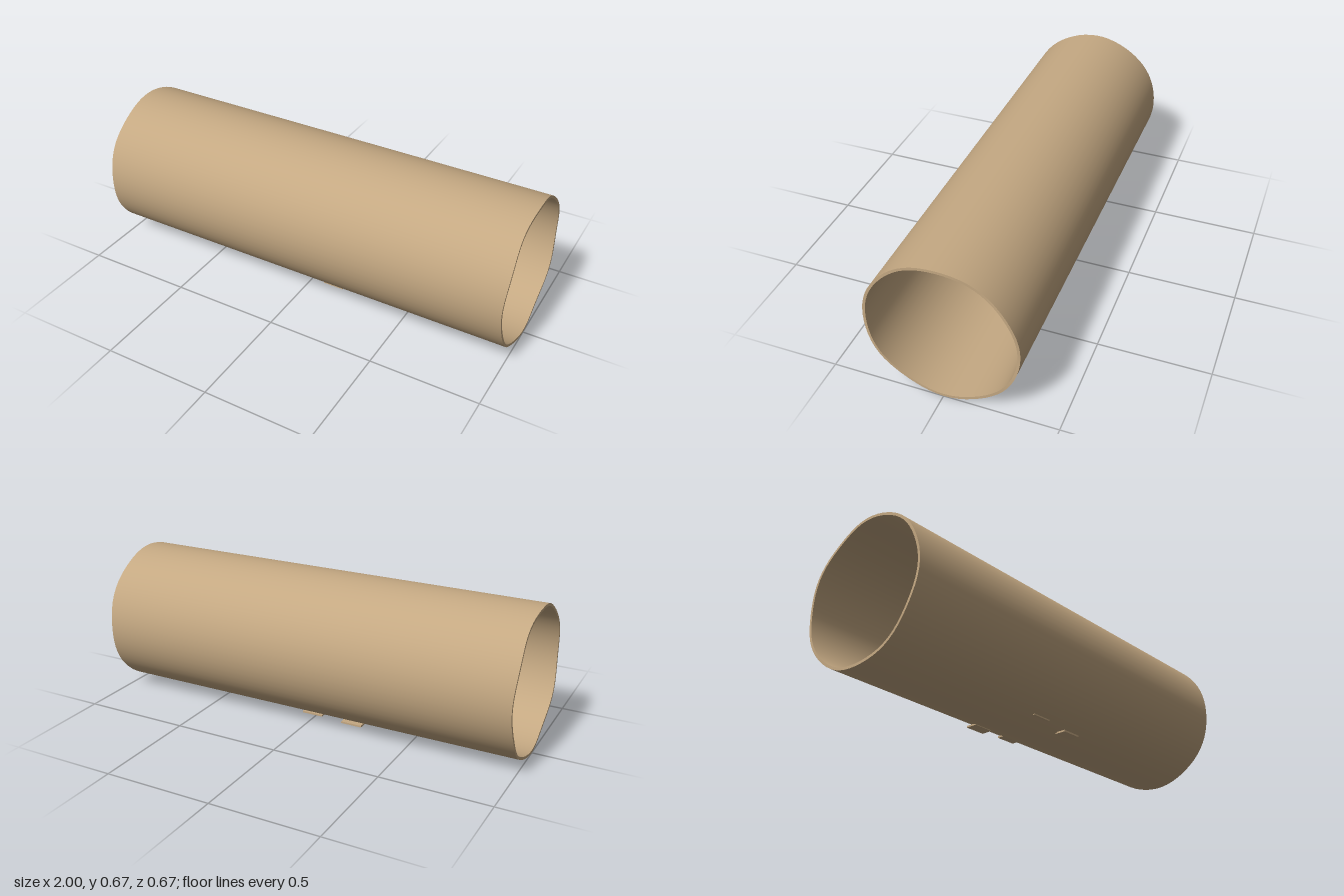
import * as THREE from 'three';
import { toCreasedNormals } from 'three/addons/utils/BufferGeometryUtils.js';

const OUTER = 0.335, INNER = 0.323, HALF = 1;

export function createModel() {
  const group = new THREE.Group();
  group.name = 'cardboardTube';
  const material = new THREE.MeshStandardMaterial({ color: 0xc4a882 });

  // Hollow tube: a closed wall profile turned about the axis, laid along x
  const profile = [
    [OUTER, -HALF], [OUTER, HALF], [INNER, HALF], [INNER, -HALF], [OUTER, -HALF],
  ].map(([r, y]) => new THREE.Vector2(r, y));
  const wall = new THREE.LatheGeometry(profile, 64);
  wall.rotateZ(-Math.PI / 2);

  // Slightly uneven cut at both ends
  const pos = wall.attributes.position;
  for (let i = 0; i < pos.count; i++) {
    const angle = Math.atan2(pos.getZ(i), pos.getY(i));
    const dip = 0.003 * (1 - Math.cos(angle * 6));
    pos.setX(i, pos.getX(i) - Math.sign(pos.getX(i)) * dip);
  }
  const tube = new THREE.Mesh(toCreasedNormals(wall, 0.5), material);
  tube.name = 'tubeWall';
  tube.position.y = OUTER;
  group.add(tube);

  // Small flat chips lying in three thin layers through the underside: [x, layer, z]
  const chips = new THREE.Group();
  chips.name = 'chips';
  const chipGeometry = new THREE.BoxGeometry(0.1, 0.008, 0.053);
  const layers = [0.0145, 0.0235, 0.0325];
  const places = [
    [0.12, 0, 0.121], [-0.1, 0, 0.04], [0.2, 0, -0.04], [-0.2, 0, -0.121],
    [0.2, 1, 0.081], [-0.2, 1, 0], [0.1, 1, -0.04], [0, 1, -0.121],
    [-0.083, 2, 0.121], [0.02, 2, 0.081], [0, 2, 0], [-0.1, 2, -0.081],
  ];
  places.forEach(([x, layer, z], i) => {
    const chip = new THREE.Mesh(chipGeometry, material);
    chip.name = `chip${i + 1}`;
    chip.position.set(x, layers[layer], z);
    chips.add(chip);
  });
  group.add(chips);
  return group;
}
